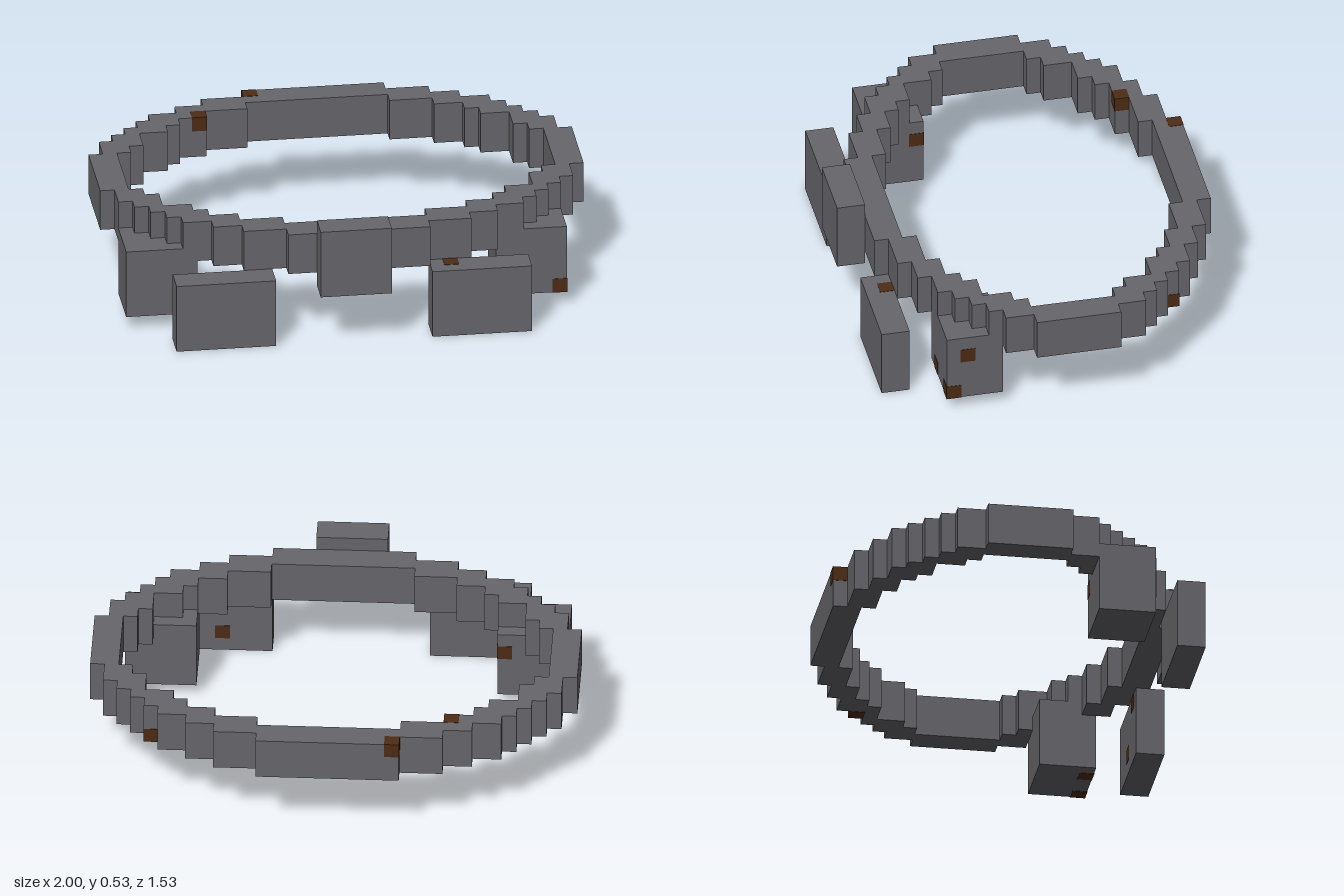
import * as THREE from 'three';

// The model sits on a 34 x 9 x 26 grid of small cubes
const U = 1 / 17;

export function createModel() {
  const metal = new THREE.MeshStandardMaterial({ color: 0x67666b });
  metal.name = 'dark grey metal';
  const rust = new THREE.MeshStandardMaterial({ color: 0x4e2c15 });
  rust.name = 'brown rust';

  const model = new THREE.Group();
  model.name = 'beltRing';

  // Box between two grid corners, optionally swollen to avoid coplanar faces
  function block(parent, name, material, [x0, x1], [y0, y1], [z0, z1], swell = 0) {
    const mesh = new THREE.Mesh(
      new THREE.BoxGeometry((x1 - x0) * U + swell, (y1 - y0) * U + swell, (z1 - z0) * U + swell),
      material
    );
    mesh.position.set(((x0 + x1) / 2 - 17) * U, ((y0 + y1) / 2) * U, ((z0 + z1) / 2 - 13) * U);
    mesh.name = name;
    parent.add(mesh);
  }

  // Stepped oval band: one quarter of steps mirrored to four
  const band = new THREE.Group();
  band.name = 'band';
  model.add(band);
  const height = [5, 8];
  const steps = [
    [9, 12, 1, 3], [7, 9, 2, 4], [5, 7, 3, 5], [4, 6, 4, 6],
    [3, 4, 5, 6], [2, 4, 6, 8], [1, 3, 7, 9]
  ];
  for (const [x0, x1, z0, z1] of steps) {
    for (const xs of [[x0, x1], [34 - x1, 34 - x0]]) {
      for (const zs of [[z0, z1], [24 - z1, 24 - z0]]) {
        block(band, 'bandStep', metal, xs, height, zs);
      }
    }
  }
  block(band, 'bandBack', metal, [12, 22], height, [0, 2]);
  block(band, 'bandFront', metal, [12, 22], height, [22, 24]);
  block(band, 'bandRight', metal, [0, 2], height, [9, 15]);
  block(band, 'bandLeft', metal, [32, 34], height, [9, 15]);

  // Buckle and hanging pouches
  block(model, 'buckle', metal, [14, 19], [4, 9], [24, 26]);
  block(model, 'rightFrontPouch', metal, [4, 11], [0, 5], [23, 25]);
  block(model, 'leftFrontPouch', metal, [22, 29], [0, 5], [23, 25]);
  block(model, 'rightSidePouch', metal, [1, 6], [1, 6], [17, 21]);
  block(model, 'leftSidePouch', metal, [27, 32], [1, 6], [17, 21]);

  // Scattered rust cubes, barely proud of the surface
  const spots = [
    [12, 7, 0], [8, 7, 3], [29, 5, 4], [23, 4, 23], [31, 1, 20],
    [31, 4, 19], [28, 1, 20], [25, 1, 23], [5, 4, 17]
  ];
  for (const [x, y, z] of spots) {
    block(model, 'rustSpot', rust, [x, x + 1], [y, y + 1], [z, z + 1], 0.003);
  }

  return model;
}
